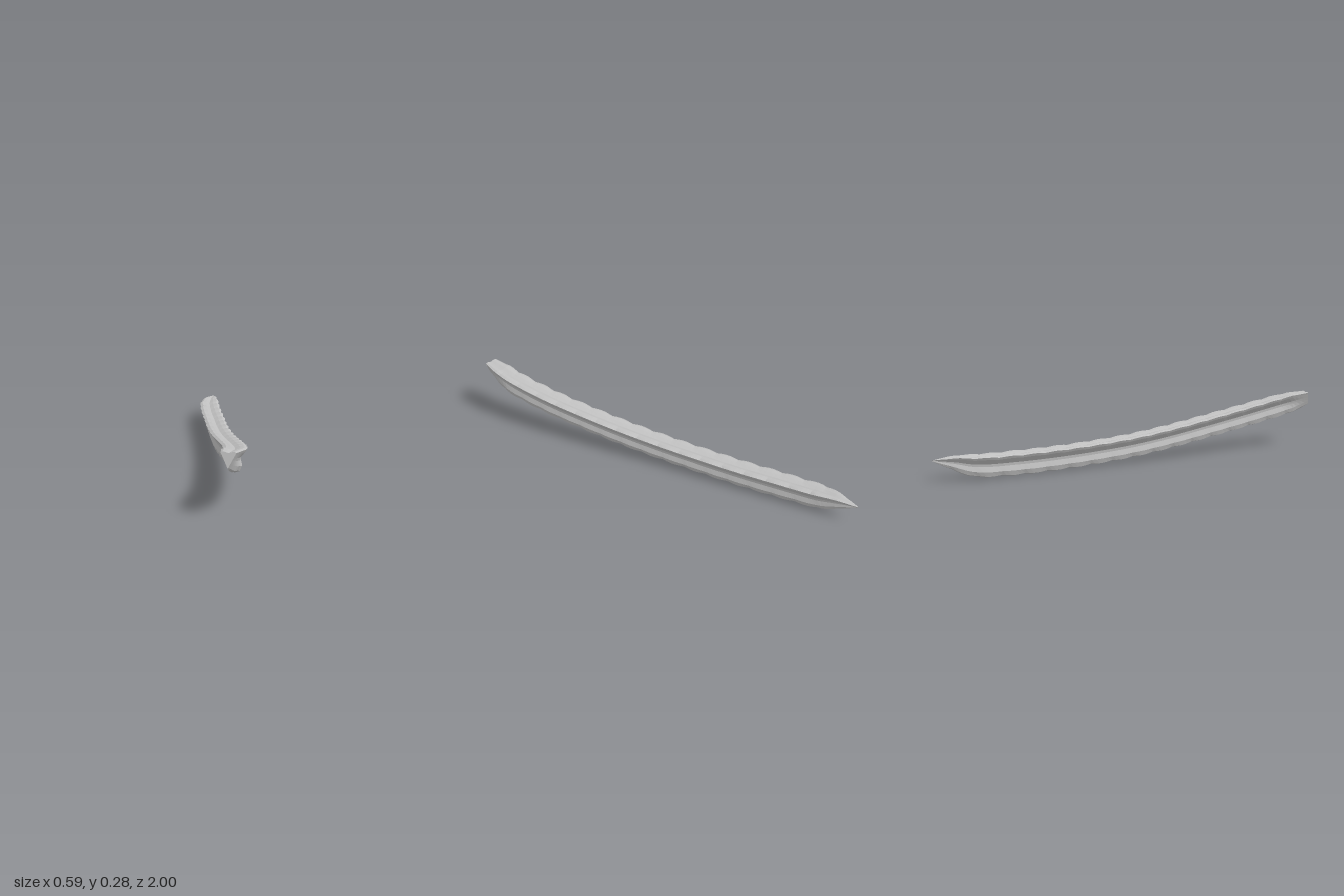
import * as THREE from 'three';

// Path stations from the pointed tip to the blunt end: x, y, z, section scale
const STATIONS = [
  [-0.275, 0.1, -1, 0.04], [-0.264, 0.084, -0.9, 0.6], [-0.25, 0.064, -0.8, 0.94],
  [-0.195, 0.058, -0.6, 1], [-0.132, 0.06, -0.4, 1], [-0.07, 0.068, -0.2, 1],
  [-0.005, 0.082, 0, 1], [0.063, 0.105, 0.2, 1], [0.13, 0.135, 0.4, 1],
  [0.191, 0.168, 0.6, 1], [0.238, 0.206, 0.8, 0.98], [0.248, 0.228, 0.9, 0.92], [0.25, 0.251, 0.99, 0.64],
];

// Right half of the three-lobed section, bottom to top: u, v, ripple strength
const HALF = [
  [0.021, -0.05, 1], [0.03, -0.028, 0.4], [0.024, -0.003, 0], [0.026, 0.01, 0],
  [0.046, 0.034, 0.8], [0.053, 0.046, 1], [0.04, 0.052, 0.8], [0.02, 0.049, 0.3],
];
const SECTION = [
  [0, -0.056, 1],
  ...HALF, [0, 0.042, 0],
  ...HALF.slice().reverse().map(([u, v, w]) => [-u, v, w]),
];
const RINGS = 90;
const BUMPS = 18;

function makeRings() {
  const path = new THREE.CatmullRomCurve3(STATIONS.map(([x, y, z]) => new THREE.Vector3(x, y, z)));
  const up = new THREE.Vector3(0, 1, 0);
  const last = STATIONS.length - 1;
  const rings = [];
  for (let i = 0; i <= RINGS; i++) {
    const s = i / RINGS;
    const t = path.getUtoTmapping(s);
    const centre = path.getPoint(t);
    const tangent = path.getTangent(t);
    const side = new THREE.Vector3().crossVectors(up, tangent).normalize();
    const rise = new THREE.Vector3().crossVectors(tangent, side);
    const k = Math.min(Math.floor(t * last), last - 1);
    const scale = THREE.MathUtils.lerp(STATIONS[k][3], STATIONS[k + 1][3], t * last - k);
    // The section straightens to a triangle at the blunt end
    const blunt = THREE.MathUtils.smoothstep(s, 0.92, 1);
    rings.push(SECTION.map(([u, v, w]) => {
      const straight = v < 0.045 && u !== 0 ? Math.sign(u) * (v + 0.058) * 0.5 : u;
      const width = THREE.MathUtils.lerp(u, straight, blunt);
      // Each lobe is scalloped along its length, slightly out of step with the others
      const phase = v < -0.02 ? 0.6 : u > 0 ? 0 : 1.2;
      const ripple = 1 + 0.11 * w * (Math.abs(Math.sin(s * BUMPS * Math.PI + phase)) - 0.65) * (1 - blunt);
      return centre.clone()
        .addScaledVector(side, width * scale * ripple)
        .addScaledVector(rise, v * scale * ripple);
    }));
  }
  return rings;
}

function fromTriangles(points) {
  const geometry = new THREE.BufferGeometry().setFromPoints(points);
  geometry.computeVertexNormals();
  return geometry;
}

function skin(rings) {
  const points = [];
  const n = SECTION.length;
  for (let i = 0; i < rings.length - 1; i++) {
    for (let j = 0; j < n; j++) {
      const a = rings[i][j], b = rings[i][(j + 1) % n];
      const c = rings[i + 1][(j + 1) % n], d = rings[i + 1][j];
      points.push(a, b, c, a, c, d);
    }
  }
  return fromTriangles(points);
}

function cap(ring, flip) {
  const contour = SECTION.map(([u, v]) => new THREE.Vector2(u, v));
  const faces = THREE.ShapeUtils.triangulateShape(contour, []);
  return fromTriangles(faces.flatMap(([a, b, c]) => (flip ? [a, c, b] : [a, b, c]).map((k) => ring[k])));
}

export function createModel() {
  const group = new THREE.Group();
  group.name = 'ridgedPod';
  const grey = new THREE.MeshStandardMaterial({ color: 0xc0c0c0, flatShading: true });
  grey.name = 'light grey';

  const rings = makeRings();
  const add = (name, geometry) => {
    const mesh = new THREE.Mesh(geometry, grey);
    mesh.name = name;
    group.add(mesh);
  };
  add('ridgedBody', skin(rings));
  add('bluntEnd', cap(rings[RINGS], false));
  add('pointedTip', cap(rings[0], true));
  return group;
}
